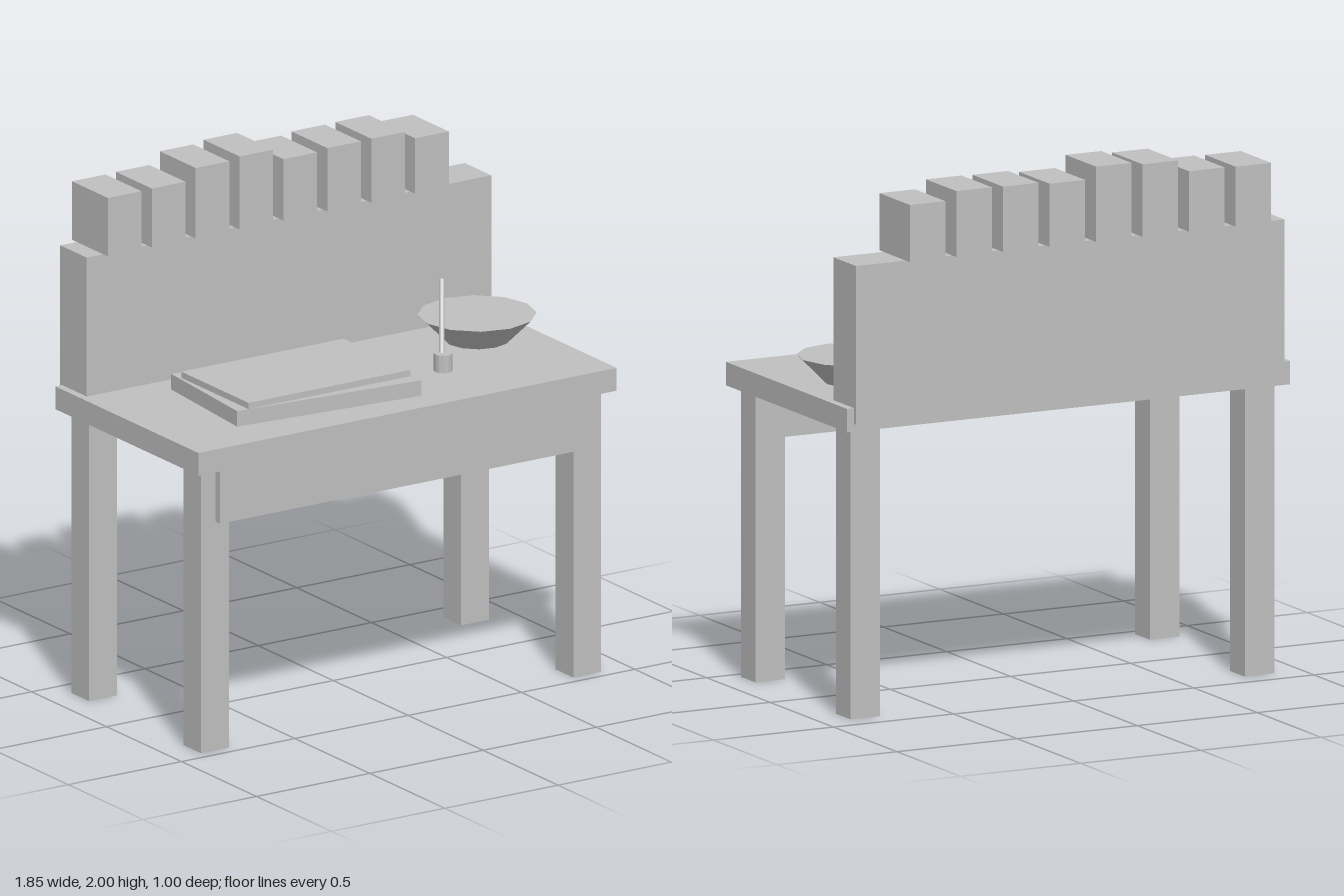
import * as THREE from 'three';

export function createModel() {
  const model = new THREE.Group();
  model.name = 'writingDesk';
  const grey = new THREE.MeshStandardMaterial({ color: 0xbfbfbf, flatShading: true });
  grey.name = 'plain grey';

  const add = (name, geometry, parent = model) => {
    const mesh = new THREE.Mesh(geometry, grey);
    mesh.name = name;
    parent.add(mesh);
    return mesh;
  };
  // Box given by its limits on each axis
  const box = (name, [x0, x1], [y0, y1], [z0, z1], parent) => {
    const mesh = add(name, new THREE.BoxGeometry(x1 - x0, y1 - y0, z1 - z0), parent);
    mesh.position.set((x0 + x1) / 2, (y0 + y1) / 2, (z0 + z1) / 2);
    return mesh;
  };

  // Table
  box('tabletop', [-0.925, 0.92], [1.092, 1.18], [-0.455, 0.5]);
  box('drawerFront', [-0.822, 0.817], [0.885, 1.092], [0.452, 0.488]);
  const legs = new THREE.Group();
  legs.name = 'legs';
  model.add(legs);
  for (const x of [[-0.885, -0.761], [0.757, 0.88]]) {
    box('frontLeg', x, [0, 1.092], [0.34, 0.457], legs);
    box('backLeg', x, [0, 1.092], [-0.408, -0.291], legs);
  }

  // Shelf block at the back, with a row of books on top
  box('backShelf', [-0.895, 0.89], [1.12, 1.717], [-0.468, -0.291]);
  const books = new THREE.Group();
  books.name = 'books';
  model.add(books);
  [1.943, 1.945, 1.99, 2.0, 1.955, 1.963, 1.965, 1.932].forEach((top, i) => {
    const x = -0.822 + i * 0.1937;
    box('book', [x, x + 0.148], [1.717, top], [-0.5, -0.26], books);
  });

  // Writing board, turned slightly, with paper lying square on it
  const board = box('writingBoard', [-0.612, 0.16], [1.18, 1.24], [-0.159, 0.349]);
  board.rotation.y = -0.085;
  box('paper', [-0.584, 0.131], [1.238, 1.264], [-0.13, 0.318]);

  // Twelve-sided dish
  const dish = add('dish', new THREE.CylinderGeometry(0.22, 0.12, 0.1, 12));
  dish.position.set(0.67, 1.236, -0.053);

  // Ink pot and leaning pen
  const pot = add('inkPot', new THREE.CylinderGeometry(0.035, 0.035, 0.068, 12));
  pot.position.set(0.371, 1.214, 0.173);
  const tail = new THREE.Vector3(0.362, 1.22, 0.178);
  const tip = new THREE.Vector3(0.441, 1.49, 0.058);
  const pen = add('pen', new THREE.CylinderGeometry(0.01, 0.01, tail.distanceTo(tip), 6));
  pen.position.copy(tail).lerp(tip, 0.5);
  pen.quaternion.setFromUnitVectors(new THREE.Vector3(0, 1, 0), tip.clone().sub(tail).normalize());

  return model;
}
